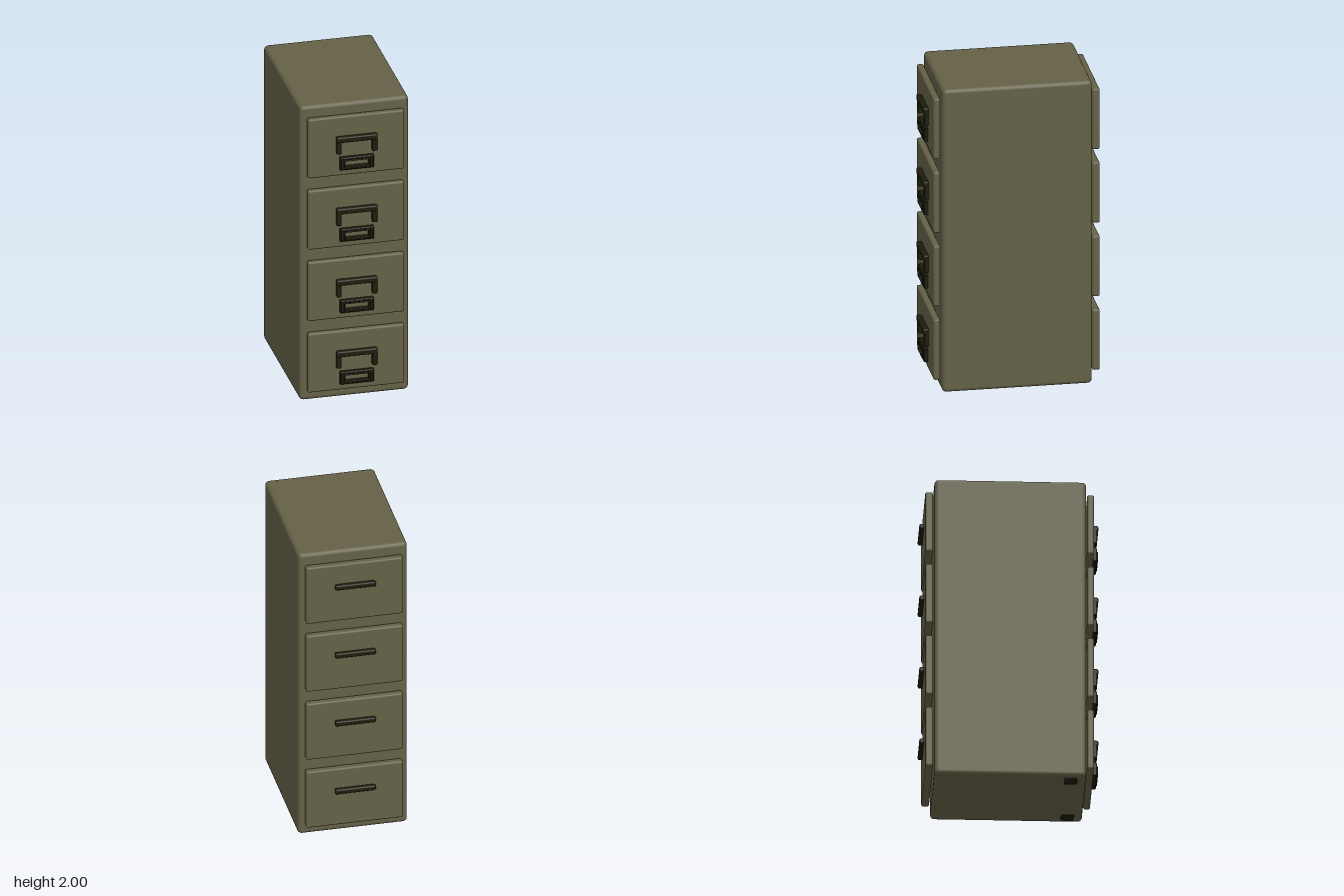
import * as THREE from 'three';
import { RoundedBoxGeometry } from 'three/addons/geometries/RoundedBoxGeometry.js';

const olive = new THREE.MeshStandardMaterial({ color: 0x646146 });
olive.name = 'olive paint';
const dark = new THREE.MeshStandardMaterial({ color: 0x1d1c0c });
dark.name = 'dark metal';

// Softly bevelled box given by its min and max corners
function box(name, min, max, radius, material) {
  const size = max.map((v, i) => v - min[i]);
  const mesh = new THREE.Mesh(new RoundedBoxGeometry(...size, 2, radius), material);
  mesh.position.set(...max.map((v, i) => (v + min[i]) / 2));
  mesh.name = name;
  return mesh;
}

function rectangle(ShapeType, w, h) {
  return new ShapeType([[-w, -h], [w, -h], [w, h], [-w, h]].map(p => new THREE.Vector2(...p)));
}

// Rectangular frame with a hole, lying on z = 0
function frame(name, outer, inner, depth, bevel) {
  const shape = rectangle(THREE.Shape, outer[0] - bevel, outer[1] - bevel);
  shape.holes.push(rectangle(THREE.Path, inner[0] + bevel, inner[1] + bevel));
  const geometry = new THREE.ExtrudeGeometry(shape, {
    depth: depth - bevel, bevelEnabled: true, bevelThickness: bevel, bevelSize: bevel, bevelSegments: 1,
  });
  const mesh = new THREE.Mesh(geometry, dark);
  mesh.name = name;
  return mesh;
}

// Front drawer with a bracket pull and a label holder; y = 0 is its lower edge
function frontDrawer() {
  const g = new THREE.Group();
  g.name = 'frontDrawer';
  g.add(box('drawerFront', [-0.305, 0, 0.474], [0.305, 0.4, 0.516], 0.012, olive));
  g.add(box('pullBar', [-0.13, 0.234, 0.514], [0.13, 0.272, 0.55], 0.01, dark));
  for (const side of [-1, 1]) {
    g.add(box('pullLeg', [side * 0.113 - 0.016, 0.155, 0.512], [side * 0.113 + 0.016, 0.25, 0.543], 0.008, dark));
  }
  const holder = frame('labelHolder', [0.106, 0.042], [0.075, 0.02], 0.029, 0.006);
  holder.position.set(0, 0.088, 0.515);
  const rim = frame('labelRim', [0.084, 0.027], [0.075, 0.02], 0.035, 0.002);
  rim.position.copy(holder.position);
  g.add(holder, rim);
  return g;
}

// Back panel with a single bar
function backPanel() {
  const g = new THREE.Group();
  g.name = 'backPanel';
  g.add(box('panel', [-0.305, 0, -0.522], [0.305, 0.4, -0.474], 0.012, olive));
  g.add(box('backBar', [-0.128, 0.232, -0.551], [0.128, 0.266, -0.518], 0.01, dark));
  return g;
}

export function createModel() {
  const cabinet = new THREE.Group();
  cabinet.name = 'filingCabinet';
  cabinet.add(box('body', [-0.345, 0.004, -0.467], [0.345, 2, 0.467], 0.026, olive));

  // Four levels, front and back
  for (let i = 0; i < 4; i++) {
    for (const part of [frontDrawer(), backPanel()]) {
      part.position.y = 0.075 + i * 0.485;
      cabinet.add(part);
    }
  }

  // Low feet under the front edge
  for (const side of [-1, 1]) {
    cabinet.add(box('foot', [side * 0.265 - 0.042, 0, 0.335], [side * 0.265 + 0.042, 0.02, 0.415], 0.002, dark));
  }
  return cabinet;
}
